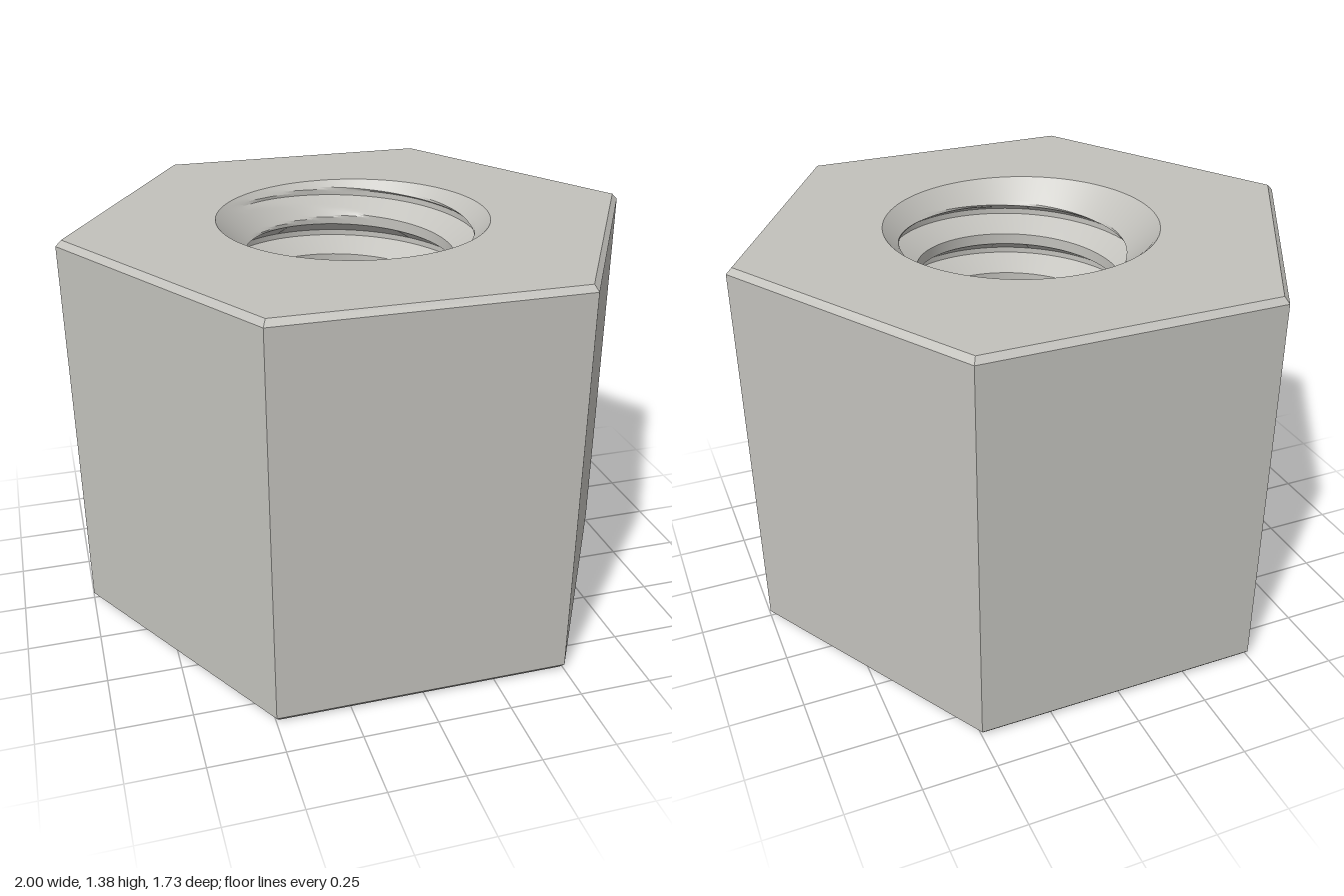
import * as THREE from 'three';
import { toCreasedNormals } from 'three/addons/utils/BufferGeometryUtils.js';

const HEIGHT = 1.385, BEVEL = 0.02;
const MOUTH = 0.47, CREST = 0.36, ROOT = 0.445; // bore radii
const PITCH = 0.157, COLS = 96;

// One thread turn going up, as [height, radius]; height 0 is the groove's upper lip
const TURN = [[-0.118, CREST], [-0.069, ROOT], [-0.049, ROOT], [0, CREST], [0.039, CREST]];

// Rows of the thread at angle 0, with the sloping flanks subdivided
function threadRows() {
  const rows = [];
  for (let k = -9; k <= 2; k++) {
    for (let s = 0; s < 4; s++) {
      const [y0, r0] = TURN[s], [y1, r1] = TURN[s + 1];
      const steps = s === 1 ? 2 : 6;
      for (let i = 0; i < steps; i++) {
        const t = i / steps;
        rows.push([1.209 + k * PITCH + y0 + (y1 - y0) * t, r0 + (r1 - r0) * t]);
      }
    }
  }
  return rows;
}

// Right-handed threaded bore, widened by a countersink at each end
function boreGeometry() {
  const rows = threadRows();
  const point = (i, [rowY, rowR]) => {
    const angle = (i / COLS) * Math.PI * 2;
    const y = THREE.MathUtils.clamp(rowY + (PITCH * i) / COLS, 0, HEIGHT);
    const r = Math.max(rowR, MOUTH - y, MOUTH - (HEIGHT - y));
    return new THREE.Vector3(r * Math.cos(angle), y, -r * Math.sin(angle));
  };
  const positions = [];
  const tri = new THREE.Triangle();
  const addTriangle = (a, b, c) => {
    if (tri.set(a, b, c).getArea() < 1e-9) return;
    for (const p of [a, b, c]) positions.push(p.x, p.y, p.z);
  };
  for (let i = 0; i < COLS; i++) {
    for (let j = 0; j < rows.length - 1; j++) {
      const a = point(i, rows[j]), b = point(i + 1, rows[j]);
      const c = point(i + 1, rows[j + 1]), d = point(i, rows[j + 1]);
      addTriangle(a, c, b);
      addTriangle(a, d, c);
    }
  }
  const geometry = new THREE.BufferGeometry();
  geometry.setAttribute('position', new THREE.Float32BufferAttribute(positions, 3));
  return toCreasedNormals(geometry, 0.4);
}

// Flat hexagon with a round hole
function faceGeometry() {
  const shape = new THREE.Shape();
  for (let i = 0; i < 6; i++) {
    const a = (i * Math.PI) / 3, r = 1 - BEVEL;
    shape[i ? 'lineTo' : 'moveTo'](r * Math.cos(a), r * Math.sin(a));
  }
  shape.closePath();
  const hole = new THREE.Path();
  hole.absarc(0, 0, MOUTH, 0, Math.PI * 2, true);
  shape.holes.push(hole);
  return new THREE.ShapeGeometry(shape, COLS / 2);
}

export function createModel() {
  const metal = new THREE.MeshStandardMaterial({ color: 0xc2c1bc });
  metal.name = 'plain metal';
  const group = new THREE.Group();
  group.name = 'hexNut';
  const add = (name, geometry) => {
    const mesh = new THREE.Mesh(geometry, metal);
    mesh.name = name;
    group.add(mesh);
    return mesh;
  };

  // Six side walls with a small bevel above and below
  const profile = [[1 - BEVEL, 0], [1, BEVEL], [1, HEIGHT - BEVEL], [1 - BEVEL, HEIGHT]]
    .map(([x, y]) => new THREE.Vector2(x, y));
  const walls = new THREE.LatheGeometry(profile, 6, Math.PI / 2).toNonIndexed();
  walls.computeVertexNormals();
  add('sideWalls', walls);

  // End faces
  const top = add('topFace', faceGeometry());
  top.rotation.x = -Math.PI / 2;
  top.position.y = HEIGHT;
  add('bottomFace', faceGeometry()).rotation.x = Math.PI / 2;

  add('threadedBore', boreGeometry());
  return group;
}
